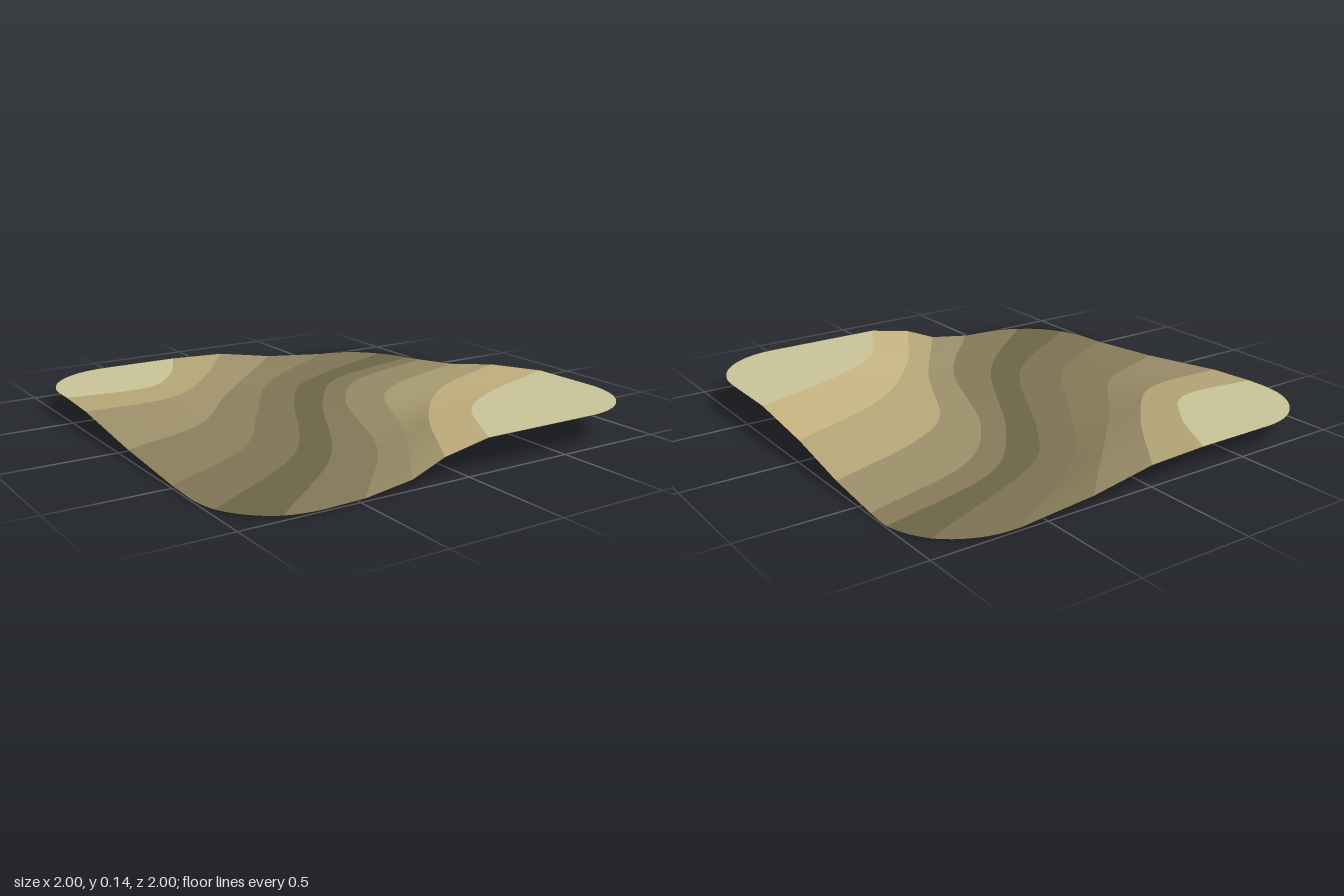
import * as THREE from 'three';

const STEPS = 48;  // samples along each contour
const ACROSS = 8;  // rows across each band
const C = 0.64, R = 0.36; // corner centre and radius of the rounded square
const { lerp } = THREE.MathUtils;

// Push a point out from the centre onto the rounded-square outline
function toOutline([x, z]) {
  const m = Math.max(Math.abs(x), Math.abs(z));
  const dx = x / m, dz = z / m;
  const ax = Math.abs(dx), az = Math.abs(dz);
  if (Math.min(ax, az) <= C) return [dx, dz];
  const dd = ax * ax + az * az, dc = (ax + az) * C;
  const t = (dc + Math.sqrt(dc * dc - dd * (2 * C * C - R * R))) / dd;
  return [dx * t, dz * t];
}

// Smooth contour at height y through a few [x, z] points, from the west/south edge to the north/east edge
function contour(y, ...points) {
  const curve = new THREE.CatmullRomCurve3(points.map(([x, z]) => new THREE.Vector3(x, 0, z)), false, 'centripetal');
  return { y, line: curve.getSpacedPoints(STEPS).map(p => [p.x, p.z]) };
}

// Outline running round one corner between the two ends of a contour
function rim({ y, line }, corner) {
  const first = line[0], last = line[STEPS];
  const out = line.map((_, i) => {
    const t = 2 * i / STEPS;
    const [a, b, s] = t < 1 ? [first, corner, t] : [corner, last, t - 1];
    return toOutline([lerp(a[0], b[0], s), lerp(a[1], b[1], s)]);
  });
  return { y, line: out };
}

// Ruled sheet between two neighbouring contours, its ends following the outline
function bandGeometry(a, b) {
  const pos = [], index = [], row = STEPS + 1;
  for (let j = 0; j <= ACROSS; j++) {
    const v = j / ACROSS;
    for (let i = 0; i <= STEPS; i++) {
      const p = [0, 1].map(n => lerp(a.line[i][n], b.line[i][n], v));
      const [x, z] = i % STEPS === 0 ? toOutline(p) : p;
      pos.push(x, lerp(a.y, b.y, v), z);
      if (i < STEPS && j < ACROSS) {
        const k = j * row + i;
        index.push(k, k + row, k + 1, k + 1, k + row, k + row + 1);
      }
    }
  }
  const g = new THREE.BufferGeometry();
  g.setAttribute('position', new THREE.Float32BufferAttribute(pos, 3));
  g.setIndex(index);
  g.computeVertexNormals();
  return g;
}

export function createModel() {
  const group = new THREE.Group();
  group.name = 'terrain';

  const addBand = (name, color, a, b) => {
    const material = new THREE.MeshStandardMaterial({ color, side: THREE.DoubleSide });
    const mesh = new THREE.Mesh(bandGeometry(a, b), material);
    mesh.name = name;
    group.add(mesh);
  };

  // Back hillside, from the plateau down to the valley
  const backTop = contour(0.10, [-1, -0.56], [-0.6, -0.54], [-0.42, -0.72], [-0.27, -1]);
  const backHigh = contour(0.09, [-1, -0.34], [-0.58, -0.355], [-0.3, -0.6], [0, -1]);
  const backMid = contour(0.04, [-1, 0.1], [-0.6, -0.06], [-0.3, -0.4], [0.29, -1]);
  const backLow = contour(0.01, [-1, 0.5], [-0.55, 0.24], [-0.27, -0.15], [0.05, -0.6], [0.62, -1]);
  const backFoot = contour(0, [-0.97, 0.78], [-0.4, 0.39], [0, -0.27], [0.2, -0.53], [0.92, -0.87]);

  // Front hillside, from the valley up to the plateau
  const frontFoot = contour(0, [-0.8, 0.96], [-0.3, 0.5], [0.12, -0.21], [0.4, -0.52], [1, -0.7]);
  const frontLow = contour(0.01, [-0.48, 1], [-0.1, 0.54], [0.19, -0.12], [0.45, -0.41], [1, -0.59]);
  const frontMid = contour(0.04, [-0.27, 1], [0.08, 0.48], [0.34, -0.02], [0.55, -0.17], [1, -0.33]);
  const frontHigh = contour(0.10, [-0.12, 1], [0.17, 0.53], [0.5, 0.2], [1, -0.02]);
  const frontTop = contour(0.14, [0.09, 1], [0.3, 0.65], [0.5, 0.51], [1, 0.32]);

  addBand('backPlateau', 0xc9c498, rim(backTop, [-1, -1]), backTop);
  addBand('backUpperSlope', 0xb3a576, backTop, backHigh);
  addBand('backMiddleSlope', 0x9c8e69, backHigh, backMid);
  addBand('backLowerSlope', 0x887e5a, backMid, backLow);
  addBand('backBank', 0x7f7355, backLow, backFoot);
  addBand('valleyFloor', 0x6c6548, backFoot, frontFoot);
  addBand('frontBank', 0x857958, frontFoot, frontLow);
  addBand('frontLowerSlope', 0x9a8d68, frontLow, frontMid);
  addBand('frontMiddleSlope', 0xb0a376, frontMid, frontHigh);
  addBand('frontUpperSlope', 0xc4b280, frontHigh, frontTop);
  addBand('frontPlateau', 0xc9c498, frontTop, rim(frontTop, [1, 1]));
  return group;
}
